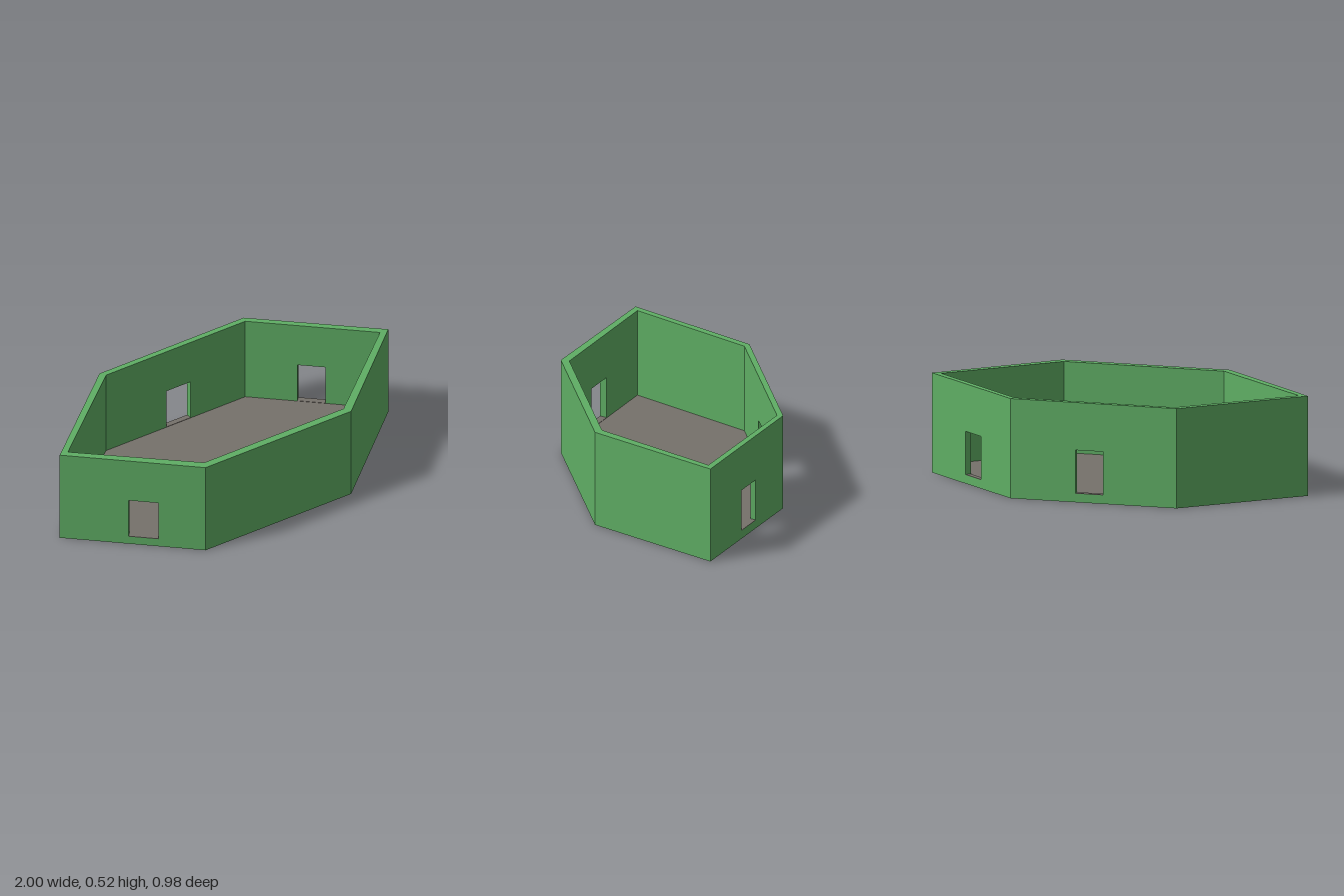
import * as THREE from 'three';

const HEIGHT = 0.52, SILL = 0.045, HEAD = 0.272;
const v2 = (x, z) => new THREE.Vector2(x, z);

// Plan corners as (x, z), running left to right when seen from outside
const outer = [v2(-1, -0.01), v2(-0.44, 0.49), v2(0.45, 0.49), v2(1, 0), v2(0.44, -0.49), v2(-0.44, -0.49)];
const inner = [v2(-0.95, -0.01), v2(-0.42, 0.45), v2(0.43, 0.45), v2(0.95, 0), v2(0.43, -0.46), v2(-0.42, -0.46)];

const walls = [
  { name: 'rightFrontWall', opening: [0.473, 0.679] },
  { name: 'frontWall' },
  { name: 'leftFrontWall' },
  { name: 'leftBackWall', opening: [0.429, 0.622] },
  { name: 'backWall', opening: [0.392, 0.557] },
  { name: 'rightBackWall' },
];

// Vertical prism over a plan outline
function prism(points, y0, y1) {
  const shape = new THREE.Shape(points.map((p) => v2(p.x, -p.y)));
  const geo = new THREE.ExtrudeGeometry(shape, { depth: y1 - y0, bevelEnabled: false });
  return geo.rotateX(-Math.PI / 2).translate(0, y0, 0);
}

// Point on the outside (inside = 0) or inside (inside = 1) face of wall i at fraction u
function wallPoint(i, u, inside) {
  const j = (i + 1) % 6;
  const p = outer[i].clone().lerp(outer[j], u);
  if (!inside) return p;
  if (u < 1e-4) return inner[i].clone();
  if (u > 1 - 1e-4) return inner[j].clone();
  const edge = inner[j].clone().sub(inner[i]);
  const s = p.sub(inner[i]).dot(edge) / edge.lengthSq();
  return inner[i].clone().lerp(inner[j], s);
}

// Rectangle with an optional opening, extruded and then bent onto the mitred plan
function wallGeometry(i, opening) {
  const rect = (Type, a, b, c, d) => new Type([v2(a, c), v2(b, c), v2(b, d), v2(a, d)]);
  const shape = rect(THREE.Shape, 0, 1, 0, HEIGHT);
  if (opening) shape.holes.push(rect(THREE.Path, opening[0], opening[1], SILL, HEAD));
  const geo = new THREE.ExtrudeGeometry(shape, { depth: 1, bevelEnabled: false });
  const pos = geo.attributes.position;
  for (let k = 0; k < pos.count; k++) {
    const p = wallPoint(i, pos.getX(k), pos.getZ(k) < 0.5 ? 1 : 0);
    pos.setXYZ(k, p.x, pos.getY(k), p.y);
  }
  geo.computeVertexNormals();
  return geo;
}

export function createModel() {
  const group = new THREE.Group();
  const green = new THREE.MeshStandardMaterial({ name: 'green', color: 0x5fae64 });
  const grey = new THREE.MeshStandardMaterial({ name: 'floorGrey', color: 0x76716b });
  const add = (name, geo, mat) => {
    const mesh = new THREE.Mesh(geo, mat);
    mesh.name = name;
    group.add(mesh);
  };

  // Base slab with the grey floor on top
  add('base', prism(inner, 0, SILL - 0.005), green);
  add('floor', prism(inner, SILL - 0.005, SILL), grey);

  // Six walls, three of them with an opening and a thin grey sill
  walls.forEach(({ name, opening }, i) => {
    add(name, wallGeometry(i, opening), green);
    if (!opening) return;
    const [a, b] = opening;
    const plan = [wallPoint(i, a, 0), wallPoint(i, b, 0), wallPoint(i, b, 1), wallPoint(i, a, 1)];
    add(name + 'Sill', prism(plan, SILL, SILL + 0.002), grey);
  });
  return group;
}
